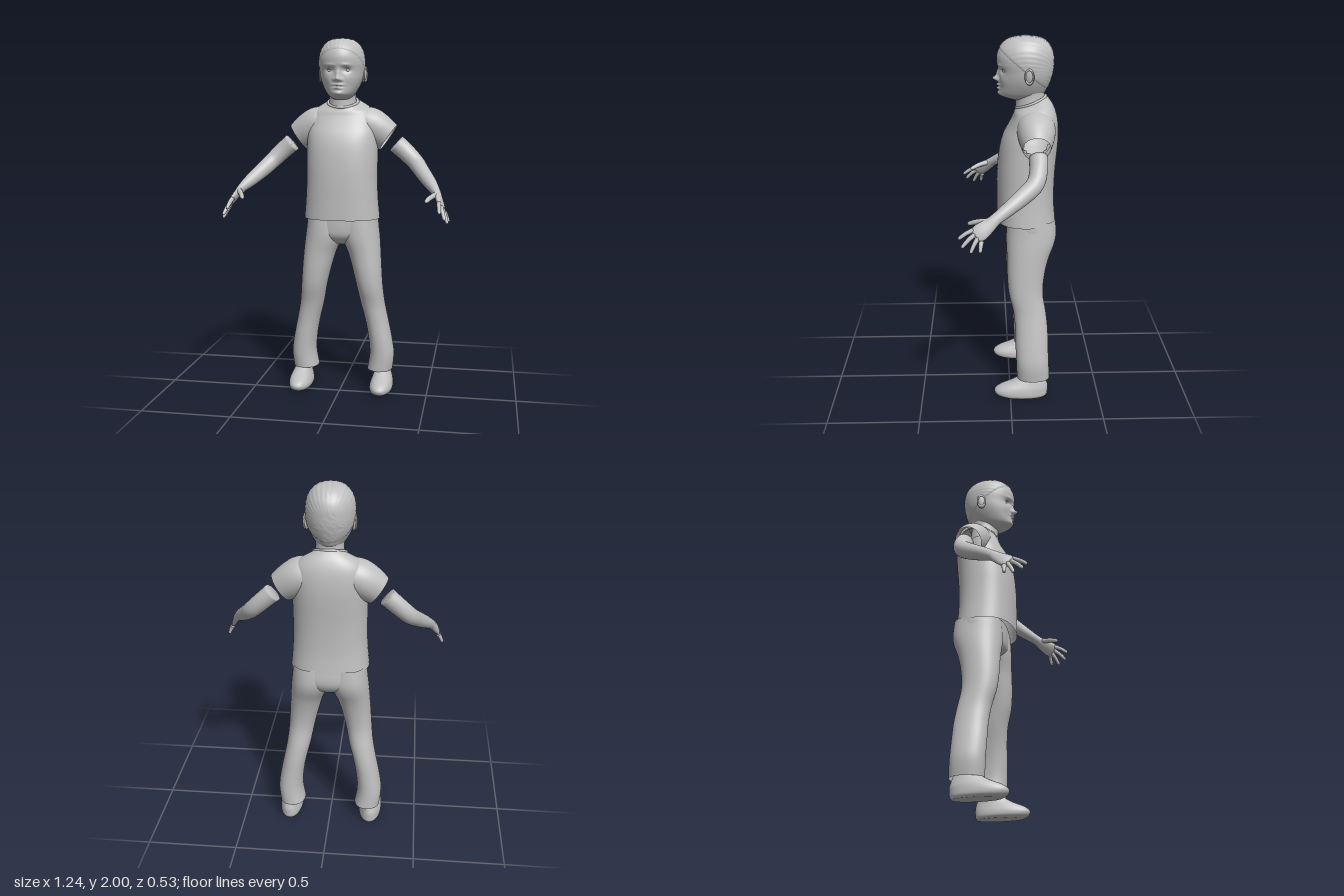
import * as THREE from 'three';

const V = (x, y, z) => new THREE.Vector3(x, y, z);

// Smooth in-between rows for a table of cross-sections
function resample(rows, n) {
  const out = [], last = rows.length - 1;
  const at = (i) => rows[Math.min(last, Math.max(0, i))];
  for (let i = 0; i < last; i++) {
    for (let k = 0; k < n; k++) {
      const t = k / n;
      out.push(rows[i].map((b, c) => {
        const a = at(i - 1)[c], d = at(i + 1)[c], e = at(i + 2)[c];
        return b + 0.5 * t * (d - a + t * (2 * a - 5 * b + 4 * d - e + t * (3 * (b - d) + e - a)));
      }));
    }
  }
  out.push(rows[last]);
  return out;
}

// Skin a list of point rings; optional end caps and a rule for leaving out faces
function skin(rings, { capStart = false, capEnd = false, skip = null } = {}) {
  const n = rings[0].length, pos = [], idx = [];
  rings.forEach((r) => r.forEach((p) => pos.push(p.x, p.y, p.z)));
  for (let i = 0; i < rings.length - 1; i++) {
    for (let j = 0; j < n; j++) {
      const k = (j + 1) % n;
      if (skip && skip(rings[i][j].clone().add(rings[i + 1][k]).multiplyScalar(0.5))) continue;
      const a = i * n + j, b = a + n, c = (i + 1) * n + k, d = i * n + k;
      idx.push(a, b, c, a, c, d);
    }
  }
  const cap = (row, flip) => {
    const m = rings[row].reduce((s, p) => s.add(p), V(0, 0, 0)).divideScalar(n);
    const ci = pos.length / 3;
    pos.push(m.x, m.y, m.z);
    for (let j = 0; j < n; j++) {
      const a = row * n + j, b = row * n + (j + 1) % n;
      if (flip) idx.push(ci, b, a); else idx.push(ci, a, b);
    }
  };
  if (capStart) cap(0, false);
  if (capEnd) cap(rings.length - 1, true);
  const g = new THREE.BufferGeometry();
  g.setAttribute('position', new THREE.Float32BufferAttribute(pos, 3));
  g.setIndex(idx);
  g.computeVertexNormals();
  return g;
}

// Stacked horizontal sections: [y, x0, x1, zBack, zFront, tilt]
function stack(rows, { n = 36, sub = 4, p = 2, move = null, ...opt } = {}) {
  const e = 2 / p;
  const rings = resample(rows, sub).map(([y, x0, x1, z0, z1, tilt = 0]) => {
    const ring = [];
    for (let j = 0; j < n; j++) {
      const t = (j / n) * Math.PI * 2, c = Math.cos(t), s = Math.sin(t);
      const dz = Math.sign(s) * Math.abs(s) ** e * (z1 - z0) / 2;
      const q = V((x0 + x1) / 2 + Math.sign(c) * Math.abs(c) ** e * (x1 - x0) / 2, y + tilt * dz, (z0 + z1) / 2 + dz);
      if (move) move(q);
      ring.push(q);
    }
    return ring;
  });
  return skin(rings, opt);
}

// Limb along a path: [x, y, z, radiusU, radiusV], U leaning towards a hint direction
function limb(rows, hint, { n = 20, sub = 4, ...opt } = {}) {
  const pts = resample(rows, sub), at = (i) => V(...pts[Math.min(pts.length - 1, Math.max(0, i))].slice(0, 3));
  const rings = pts.map((r, i) => {
    const T = at(i + 1).sub(at(i - 1)).normalize();
    const U = hint.clone().addScaledVector(T, -hint.dot(T)).normalize();
    const W = U.clone().cross(T);
    return Array.from({ length: n }, (_, j) => {
      const t = (j / n) * Math.PI * 2;
      return V(r[0], r[1], r[2]).addScaledVector(U, Math.cos(t) * r[3]).addScaledVector(W, Math.sin(t) * r[4]);
    });
  });
  return skin(rings, opt);
}

function mirrored(geo) {
  const g = geo.clone().scale(-1, 1, 1), a = g.index.array;
  for (let i = 0; i < a.length; i += 3) [a[i + 1], a[i + 2]] = [a[i + 2], a[i + 1]];
  g.computeVertexNormals();
  return g;
}

export function createModel() {
  const model = new THREE.Group();
  model.name = 'standingChild';
  const grey = new THREE.MeshStandardMaterial({ color: 0xc0c0c0, side: THREE.DoubleSide });
  grey.name = 'light grey';
  const add = (name, geo) => {
    const m = new THREE.Mesh(geo, grey);
    m.name = name;
    model.add(m);
    return m;
  };
  const pair = (name, geo) => {
    add(name + 'Left', geo);
    add(name + 'Right', mirrored(geo));
  };
  const sym = (rows) => rows.map(([y, w, zb, zf, tilt = 0]) => [y, -w, w, zb, zf, tilt]);

  // Head, with facial features raised by soft bumps: [x, y, width, height, amount]
  const headRows = sym([
    [1.665, 0.04, -0.12, -0.01], [1.68, 0.062, -0.16, 0.035], [1.7, 0.08, -0.188, 0.053],
    [1.74, 0.102, -0.208, 0.055], [1.78, 0.117, -0.222, 0.055], [1.82, 0.124, -0.231, 0.057],
    [1.86, 0.127, -0.234, 0.066], [1.9, 0.124, -0.232, 0.066], [1.94, 0.111, -0.218, 0.05],
    [1.975, 0.083, -0.187, 0.016], [1.991, 0.05, -0.145, -0.026], [1.997, 0.004, -0.09, -0.08]]);
  const bumps = [
    [0, 1.775, 0.014, 0.014, 0.03], [0, 1.8, 0.011, 0.026, 0.014], [0.018, 1.771, 0.009, 0.009, 0.012],
    [0.047, 1.823, 0.022, 0.014, -0.014], [0.045, 1.85, 0.028, 0.008, 0.005],
    [0, 1.744, 0.024, 0.006, 0.017], [0, 1.726, 0.02, 0.006, 0.015], [0, 1.735, 0.028, 0.004, -0.006],
    [0, 1.697, 0.028, 0.014, 0.012], [0.06, 1.775, 0.025, 0.025, 0.005]];
  const face = (q) => {
    if (q.z < -0.05) return;
    for (const [x, y, w, h, amt] of bumps) {
      q.z += amt * Math.exp(-(((Math.abs(q.x) - x) / w) ** 2) - ((q.y - y) / h) ** 2);
    }
  };
  add('head', stack(headRows, { n: 96, sub: 8, move: face, capStart: true, capEnd: true }));

  // Close-cropped hair emerging from the scalp along the hairline
  const crop = (q) => {
    const line = q.y - (1.8 + 0.85 * (q.z + 0.1));
    const lift = -0.012 + 0.015 * THREE.MathUtils.smoothstep(line, -0.02, 0.015);
    const streak = 0.0008 * Math.sin(Math.atan2(q.x, q.y - 1.8) * 45);
    const c = V(0, 1.84, -0.085);
    q.addScaledVector(q.clone().sub(c).normalize(), lift + streak);
  };
  add('hair', stack(headRows, { n: 96, sub: 6, move: crop, capEnd: true }));

  // Eyes, eyelids, brows and ears
  const blob = (x, y, z, sx, sy, sz, tilt = 0, yaw = 0) =>
    new THREE.SphereGeometry(1, 20, 14).scale(sx, sy, sz).rotateZ(tilt).rotateY(yaw).translate(x, y, z);
  pair('eye', blob(0.047, 1.821, 0.022, 0.017, 0.011, 0.015));
  pair('upperEyelid', blob(0.047, 1.831, 0.03, 0.021, 0.004, 0.011, -0.08, 0.25));
  pair('eyebrow', blob(0.047, 1.848, 0.046, 0.026, 0.004, 0.008, 0.12, 0.35));
  pair('ear', blob(0.122, 1.8, -0.1, 0.011, 0.042, 0.026, -0.08, -0.25));
  pair('earRim', new THREE.TorusGeometry(0.026, 0.005, 8, 24).scale(0.85, 1.4, 1)
    .rotateY(Math.PI / 2 - 0.25).translate(0.129, 1.803, -0.1));

  // Neck
  add('neck', stack(sym([[1.59, 0.085, -0.2, -0.03], [1.65, 0.076, -0.192, -0.033],
    [1.7, 0.074, -0.188, -0.03], [1.75, 0.078, -0.19, -0.02]])));

  // Hollow shirt with shoulder openings for the sleeves
  const axis = V(0.82, -0.57, 0), origin = V(0.15, 1.525, -0.135);
  const opening = (c) => {
    const q = V(Math.abs(c.x), c.y, c.z).sub(origin);
    return c.y < 1.6 && q.dot(axis) > -0.04 && q.cross(axis).length() < 0.075;
  };
  add('shirtBody', stack(sym([
    [1.0, 0.214, -0.255, 0.07], [1.1, 0.205, -0.246, 0.07], [1.2, 0.2, -0.246, 0.07],
    [1.3, 0.2, -0.251, 0.066], [1.4, 0.2, -0.26, 0.054], [1.47, 0.2, -0.264, 0.034],
    [1.53, 0.197, -0.262, 0.004, -0.03], [1.58, 0.185, -0.253, -0.018, -0.08],
    [1.615, 0.155, -0.236, -0.026, -0.18], [1.637, 0.115, -0.215, -0.032, -0.3],
    [1.652, 0.083, -0.197, -0.036, -0.38]]), { n: 64, sub: 5, p: 2.35, skip: opening }));
  pair('sleeve', limb([
    [0.1, 1.545, -0.135, 0.085, 0.095], [0.15, 1.525, -0.137, 0.098, 0.102],
    [0.205, 1.488, -0.136, 0.096, 0.092], [0.257, 1.452, -0.135, 0.084, 0.073]],
  V(0.57, 0.82, 0), { n: 36 }));
  add('collar', new THREE.TorusGeometry(0.084, 0.008, 10, 40).rotateX(Math.PI / 2 + 0.37).translate(0, 1.651, -0.116));

  // Arm and palm
  const across = V(-0.35, 0.65, 0.55);
  pair('arm', limb([
    [0.3, 1.42, -0.14, 0.048, 0.054], [0.36, 1.367, -0.138, 0.046, 0.051],
    [0.415, 1.313, -0.118, 0.046, 0.047], [0.455, 1.267, -0.062, 0.044, 0.043],
    [0.505, 1.214, 0.018, 0.036, 0.036], [0.54, 1.175, 0.08, 0.03, 0.025],
    [0.556, 1.148, 0.115, 0.036, 0.02], [0.57, 1.12, 0.155, 0.044, 0.017],
    [0.578, 1.1, 0.182, 0.04, 0.012]], across, { n: 24, capStart: true, capEnd: true }));

  // Fingers and thumb: root, then tip
  const fingers = {
    indexFinger: [[0.563, 1.127, 0.192], [0.57, 1.082, 0.268]],
    middleFinger: [[0.573, 1.11, 0.182], [0.597, 1.046, 0.252]],
    ringFinger: [[0.582, 1.092, 0.17], [0.61, 1.022, 0.208]],
    littleFinger: [[0.59, 1.077, 0.153], [0.615, 1.026, 0.16]],
    thumb: [[0.545, 1.165, 0.118], [0.494, 1.135, 0.222]],
  };
  for (const [name, [a, b]] of Object.entries(fingers)) {
    const mid = (t, r, up) => [...a.map((v, i) => v + (b[i] - v) * t + (i === 1 ? up : 0)), r, r];
    const fat = name === 'thumb' ? 1.25 : 1;
    pair(name, limb([mid(0, 0.013 * fat, 0), mid(0.5, 0.011 * fat, 0.005), mid(0.9, 0.009 * fat, 0.001),
      mid(1, 0.003, 0)], across, { n: 12, capStart: true, capEnd: true }));
  }

  // Trousers: hips and two flared legs
  add('trouserHips', stack(sym([
    [0.845, 0.03, -0.15, -0.07], [0.865, 0.09, -0.2, -0.02], [0.9, 0.17, -0.24, 0.012],
    [0.95, 0.203, -0.258, 0.02], [1.03, 0.203, -0.25, 0.02]]), { n: 48, p: 2.2, capStart: true }));
  pair('trouserLeg', stack([
    [0.11, 0.146, 0.292, -0.222, -0.038], [0.2, 0.16, 0.3, -0.217, -0.034],
    [0.3, 0.153, 0.286, -0.213, -0.03], [0.4, 0.135, 0.266, -0.21, -0.028],
    [0.5, 0.11, 0.247, -0.199, -0.018], [0.6, 0.09, 0.236, -0.183, 0.006],
    [0.7, 0.066, 0.229, -0.19, 0.015], [0.8, 0.037, 0.222, -0.213, 0.016],
    [0.88, 0.0, 0.215, -0.245, 0.02], [0.94, -0.01, 0.208, -0.256, 0.02],
    [1.02, -0.01, 0.2, -0.25, 0.015]], { n: 40, p: 2.2 }));

  // Shoes
  pair('shoe', stack([
    [0, 0.182, 0.288, -0.2, 0.055], [0.015, 0.17, 0.3, -0.21, 0.083], [0.04, 0.17, 0.301, -0.212, 0.09],
    [0.065, 0.178, 0.296, -0.212, 0.06], [0.09, 0.186, 0.286, -0.205, 0.0],
    [0.12, 0.19, 0.275, -0.195, -0.05], [0.16, 0.19, 0.268, -0.185, -0.07]],
  { n: 40, p: 2.2, capStart: true, capEnd: true }));

  return model;
}
